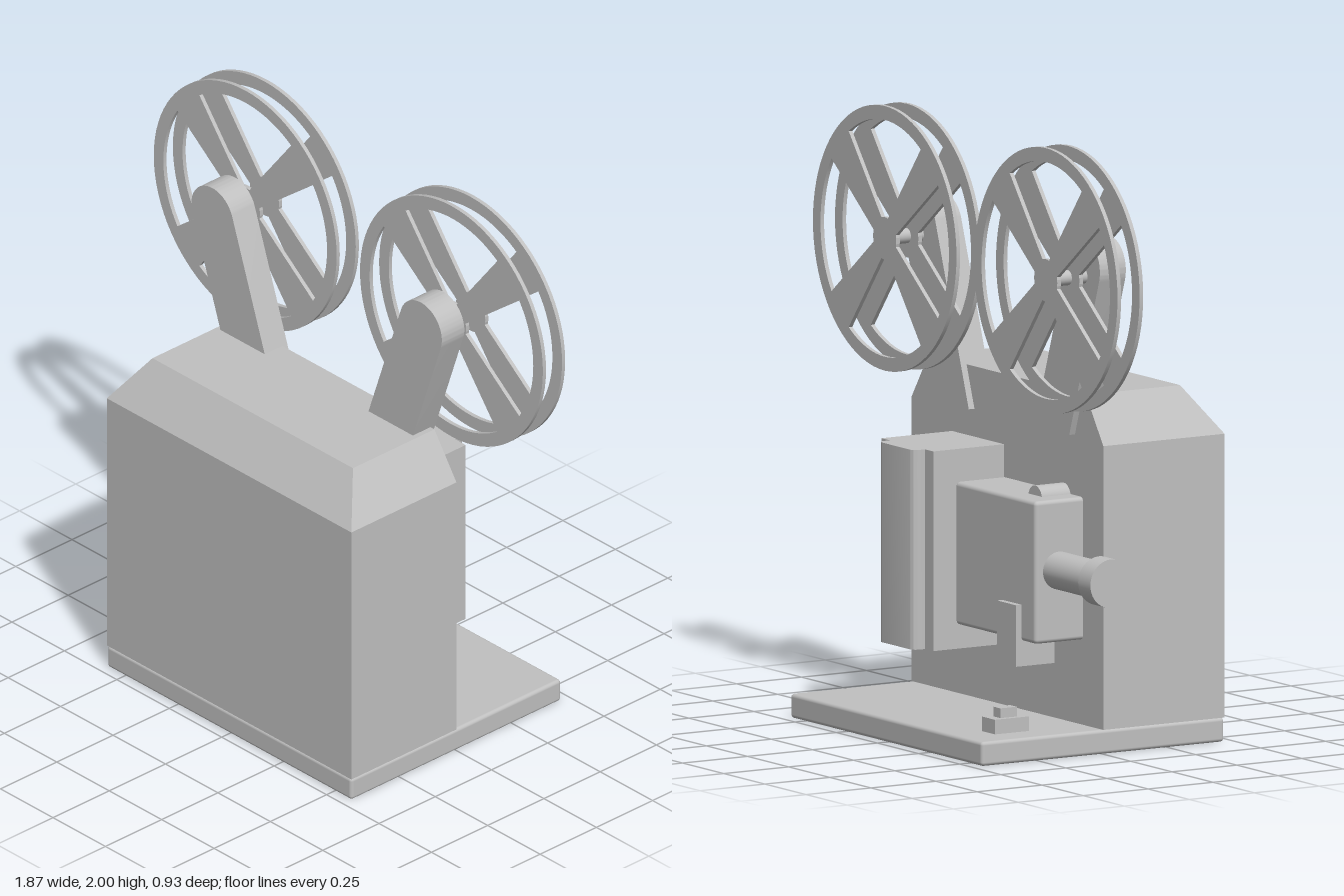
import * as THREE from 'three';
import { toCreasedNormals } from 'three/addons/utils/BufferGeometryUtils.js';
import { RoundedBoxGeometry } from 'three/addons/geometries/RoundedBoxGeometry.js';
import { ConvexGeometry } from 'three/addons/geometries/ConvexGeometry.js';

const grey = new THREE.MeshStandardMaterial({ color: 0xc0c0c0 });
grey.name = 'grey metal';

export function createModel() {
  const model = new THREE.Group();
  model.name = 'filmProjector';

  const add = (name, geometry, x = 0, y = 0, z = 0) => {
    const mesh = new THREE.Mesh(geometry, grey);
    mesh.name = name;
    mesh.position.set(x, y, z);
    model.add(mesh);
    return mesh;
  };
  // Box given by its limits, optionally with rounded edges
  const box = (name, x0, x1, y0, y1, z0, z1, r = 0) => {
    const s = [x1 - x0, y1 - y0, z1 - z0];
    const g = r ? new RoundedBoxGeometry(...s, 3, r) : new THREE.BoxGeometry(...s);
    return add(name, g, (x0 + x1) / 2, (y0 + y1) / 2, (z0 + z1) / 2);
  };
  // Cylinder along z or x between two coordinates
  const rodZ = (name, r, x, y, z0, z1) => add(name,
    new THREE.CylinderGeometry(r, r, Math.abs(z1 - z0), 32).rotateX(Math.PI / 2), x, y, (z0 + z1) / 2);
  const rodX = (name, r, x0, x1, y, z) => add(name,
    new THREE.CylinderGeometry(r, r, Math.abs(x1 - x0), 40).rotateZ(Math.PI / 2), (x0 + x1) / 2, y, z);
  const extrude = (shape, depth) => toCreasedNormals(
    new THREE.ExtrudeGeometry(shape, { depth, bevelEnabled: false, curveSegments: 24 }), 0.6);

  // Base plate
  box('base', -0.583, 0.583, 0, 0.08, -0.467, 0.467, 0.012);

  // Housing with sloped shoulders at the front and sides
  const corners = [];
  for (const [y, w, front] of [[0.08, 0.583, 0.467], [1.015, 0.583, 0.467], [1.17, 0.478, 0.362]])
    for (const s of [-1, 1])
      corners.push(new THREE.Vector3(s * w, y, 0), new THREE.Vector3(s * w, y, front));
  add('housing', new ConvexGeometry(corners));

  // Reel disc: rim, four flared spokes and a small hub
  const disc = new THREE.Shape().absarc(0, 0, 0.436, 0, Math.PI * 2);
  for (let i = 0; i < 4; i++) {
    const a = Math.PI / 4 + i * Math.PI / 2, b = a + Math.PI / 2;
    const hole = new THREE.Path();
    hole.absarc(0, 0, 0.39, a + 0.19, b - 0.19, false);
    hole.absarc(0, 0, 0.07, b - 0.5, a + 0.5, true);
    hole.closePath();
    disc.holes.push(hole);
  }
  const discGeometry = new THREE.ExtrudeGeometry(disc, { depth: 0.014, bevelEnabled: false, curveSegments: 40 });
  const reelGeometry = toCreasedNormals(discGeometry, 0.6);

  // Arms, spindles and reels, one set per side
  for (const [side, label, zFront, zBack] of [[1, 'left', -0.072, -0.157], [-1, 'right', -0.082, -0.167]]) {
    const px = side * 0.497, tilt = 0.33;
    const c = Math.cos(tilt) * 0.1, s = Math.sin(tilt) * 0.1, drop = 0.56, run = Math.tan(tilt);
    const arm = new THREE.Shape();
    // Rounded top about the pivot, leaning in towards the middle, cut level below
    if (side < 0) arm.absarc(0, 0, 0.1, tilt, tilt + Math.PI, false);
    else arm.absarc(0, 0, 0.1, -tilt, Math.PI - tilt, false);
    const xa = side < 0 ? -c + (drop - s) * run : -c - (drop + s) * run;
    const xb = side < 0 ? c + (drop + s) * run : c - (drop - s) * run;
    arm.lineTo(xa, -drop);
    arm.lineTo(xb, -drop);
    arm.closePath();
    add(label + 'ReelArm', extrude(arm, 0.1), px, 1.59, -0.022);

    rodZ(label + 'Spindle', 0.025, px, 1.566, 0, zBack + 0.007);
    add(label + 'ReelFrontDisc', reelGeometry, px, 1.564, zFront);
    add(label + 'ReelBackDisc', reelGeometry, px, 1.564, zBack);
  }

  // Lamp house: plan outline with a raised, rounded rear panel
  const plan = new THREE.Shape();
  plan.moveTo(0.02, 0);
  plan.lineTo(0.335, 0);
  plan.lineTo(0.335, 0.272);
  plan.lineTo(0.285, 0.272);
  plan.lineTo(0.285, 0.29);
  plan.quadraticCurveTo(0.283, 0.315, 0.26, 0.317);
  plan.lineTo(0.095, 0.317);
  plan.quadraticCurveTo(0.072, 0.315, 0.07, 0.29);
  plan.lineTo(0.07, 0.272);
  plan.lineTo(0.02, 0.272);
  plan.closePath();
  add('lampHouse', extrude(plan, 0.658).rotateX(-Math.PI / 2), 0, 0.28, 0);

  // Film gate box, its foot plate and the film rollers
  box('gateBox', -0.46, 0.03, 0.36, 0.83, -0.183, 0.02, 0.014);
  box('gateBracket', -0.375, -0.26, 0.277, 0.48, -0.205, -0.055);
  rodZ('rightRoller', 0.042, -0.343, 0.82, 0, -0.11);
  rodZ('leftRoller', 0.042, 0.403, 0.82, 0, -0.11);

  // Lens barrel and its wider front ring
  rodX('lensBarrel', 0.062, -0.71, -0.44, 0.597, -0.092);
  rodX('lensRing', 0.08, -0.776, -0.702, 0.597, -0.092);

  // Power switch on the base
  box('switchPlate', -0.47, -0.39, 0.08, 0.128, -0.345, -0.215);
  box('switchButton', -0.45, -0.41, 0.125, 0.16, -0.312, -0.248);

  return model;
}
